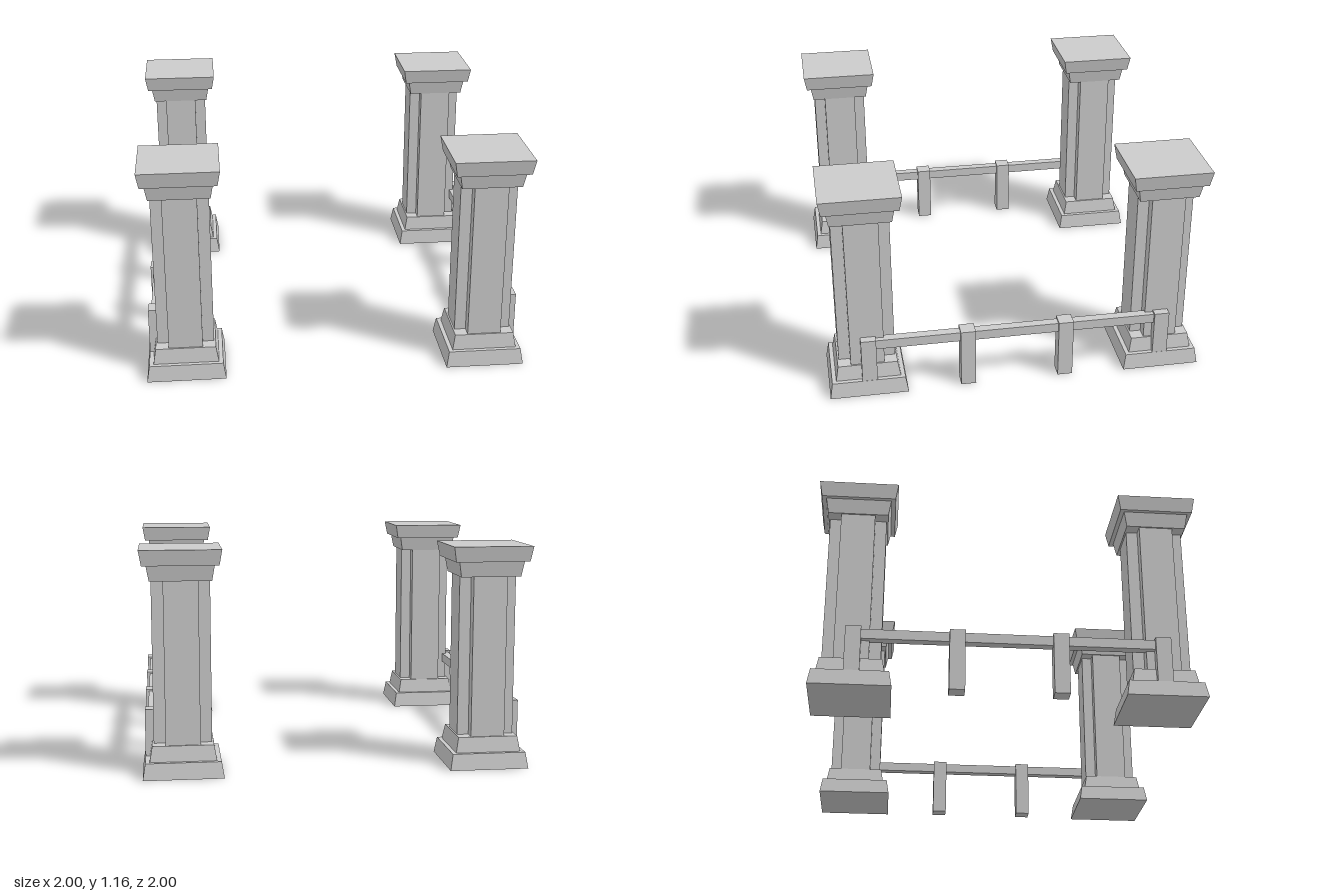
import * as THREE from 'three';

const material = new THREE.MeshStandardMaterial({ color: 0xcccccc, flatShading: true });

function addMesh(parent, name, geometry, x = 0, y = 0, z = 0) {
  const mesh = new THREE.Mesh(geometry, material);
  mesh.name = name;
  mesh.position.set(x, y, z);
  parent.add(mesh);
  return mesh;
}

// Square block with sloping sides, given half-widths at bottom and top
function taperedBlock(bottom, top, y0, y1) {
  return new THREE.CylinderGeometry(top * Math.SQRT2, bottom * Math.SQRT2, y1 - y0, 4)
    .rotateY(Math.PI / 4)
    .translate(0, (y0 + y1) / 2, 0);
}

// Square shaft with notched corners (plus-shaped plan)
function shaftGeometry(half, arm, y0, y1) {
  const shape = new THREE.Shape();
  for (let i = 0; i < 4; i++) {
    const c = Math.round(Math.cos(i * Math.PI / 2));
    const s = Math.round(Math.sin(i * Math.PI / 2));
    for (const [px, py] of [[half, -arm], [half, arm], [arm, arm]]) {
      const x = px * c - py * s, y = px * s + py * c;
      if (i === 0 && px === half && py === -arm) shape.moveTo(x, y);
      else shape.lineTo(x, y);
    }
  }
  shape.closePath();
  return new THREE.ExtrudeGeometry(shape, { depth: y1 - y0, bevelEnabled: false })
    .rotateX(-Math.PI / 2)
    .translate(0, y0, 0);
}

function createPillar() {
  const pillar = new THREE.Group();
  pillar.name = 'pillar';
  addMesh(pillar, 'plinth', taperedBlock(0.207, 0.193, 0, 0.085));
  addMesh(pillar, 'baseStep', taperedBlock(0.171, 0.157, 0.085, 0.165));
  addMesh(pillar, 'shaft', shaftGeometry(0.149, 0.089, 0.165, 1.005));
  addMesh(pillar, 'capitalStep', taperedBlock(0.157, 0.171, 1.005, 1.085));
  addMesh(pillar, 'capitalSlab', taperedBlock(0.193, 0.207, 1.085, 1.165));
  return pillar;
}

// Low fence: four square posts joined by one rail
function createFence() {
  const fence = new THREE.Group();
  fence.name = 'fence';
  for (const z of [-0.787, -0.263, 0.263, 0.787]) {
    addMesh(fence, 'fencePost', new THREE.BoxGeometry(0.08, 0.33, 0.08), 0, 0.165, z);
  }
  addMesh(fence, 'fenceRail', new THREE.BoxGeometry(0.048, 0.052, 1.56), 0, 0.294, 0);
  return fence;
}

export function createModel() {
  const model = new THREE.Group();
  model.name = 'pillarsWithFences';
  for (const side of [-1, 1]) {
    for (const end of [-1, 1]) {
      const pillar = createPillar();
      pillar.position.set(side * 0.793, 0, end * 0.793);
      model.add(pillar);
    }
    const fence = createFence();
    fence.position.x = side * 0.945;
    model.add(fence);
  }
  return model;
}
